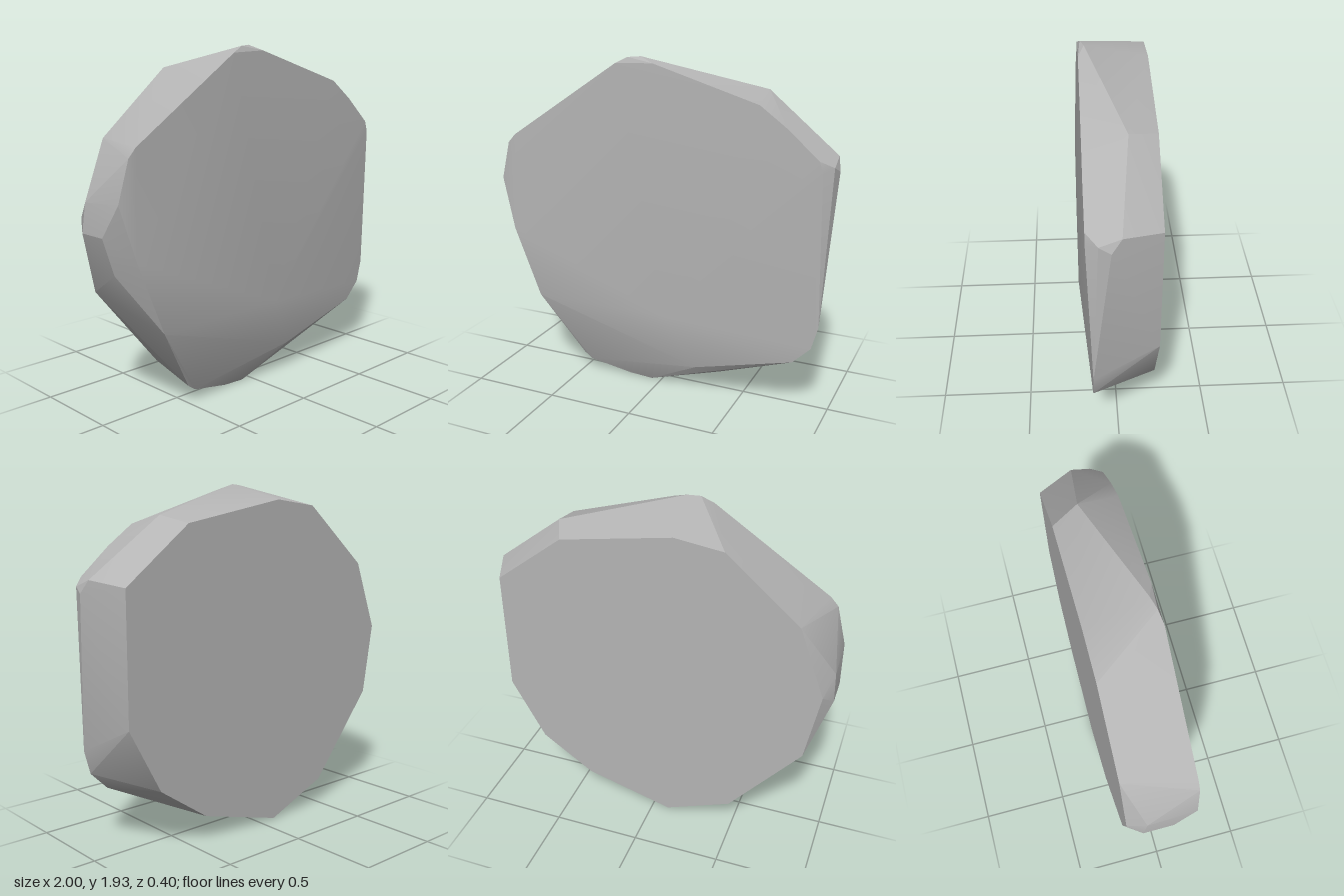
import * as THREE from 'three';
import { ConvexGeometry } from 'three/addons/geometries/ConvexGeometry.js';
import { toCreasedNormals } from 'three/addons/utils/BufferGeometryUtils.js';

// Flat back outline (x, y), all on z = -0.2
const backRim = [
  [0.9, 1.43], [0.51, 1.73], [-0.12, 1.845], [-0.39, 1.81], [-0.8, 1.46], [-0.95, 1.06],
  [-0.88, 0.65], [-0.48, 0.16], [-0.1, 0.005], [0.41, 0.15], [0.71, 0.36], [0.9, 0.72],
];

// Widest corners around the side (x, y, z)
const sideCorners = [
  [0.58, 1.77, -0.05], [0.98, 1.46, 0], [1, 1.39, 0.05], [0.985, 1.42, 0.11],
  [-1, 1.0, -0.12], [-1, 1.0, 0.05], [-0.99, 1.16, -0.1], [-0.94, 0.8, 0.06],
  [-0.06, 0, 0.07], [-0.2, 0.01, 0.075], [0.36, 0.11, 0.02],
];

// Front rim and the two ridge ends of the front face (x, y, z)
const frontRim = [
  [-0.925, 1.4, 0.18], [-0.88, 1.45, 0.18], [-0.22, 1.89, 0.174], [-0.15, 1.925, 0.16],
  [-0.08, 1.93, 0.14], [0, 1.9, 0.172], [0.6, 1.72, 0.172], [0.75, 1.61, 0.172],
  [0.92, 1.46, 0.17], [0.94, 1.4, 0.17], [0.955, 0.55, 0.14], [0.92, 0.42, 0.14],
  [0.82, 0.32, 0.14], [0.25, 0.17, 0.14], [-0.45, 0.065, 0.1], [-0.5, 0.1, 0.1],
  [-0.74, 0.48, 0.2], [0.08, 0.48, 0.2], [-0.9, 0.88, 0.198], [-0.985, 1.18, 0.17],
];

export function createModel() {
  const group = new THREE.Group();
  group.name = 'flatStone';

  const stoneGrey = new THREE.MeshStandardMaterial({ color: 0xb4b4b4 });
  stoneGrey.name = 'stoneGrey';

  // Stone slab: the hull of its three rings, softened over shallow edges
  const points = [...backRim.map(([x, y]) => [x, y, -0.2]), ...sideCorners, ...frontRim]
    .map((p) => new THREE.Vector3(...p));
  const geometry = toCreasedNormals(new ConvexGeometry(points), 0.35);

  const stone = new THREE.Mesh(geometry, stoneGrey);
  stone.name = 'stone';
  group.add(stone);
  return group;
}
